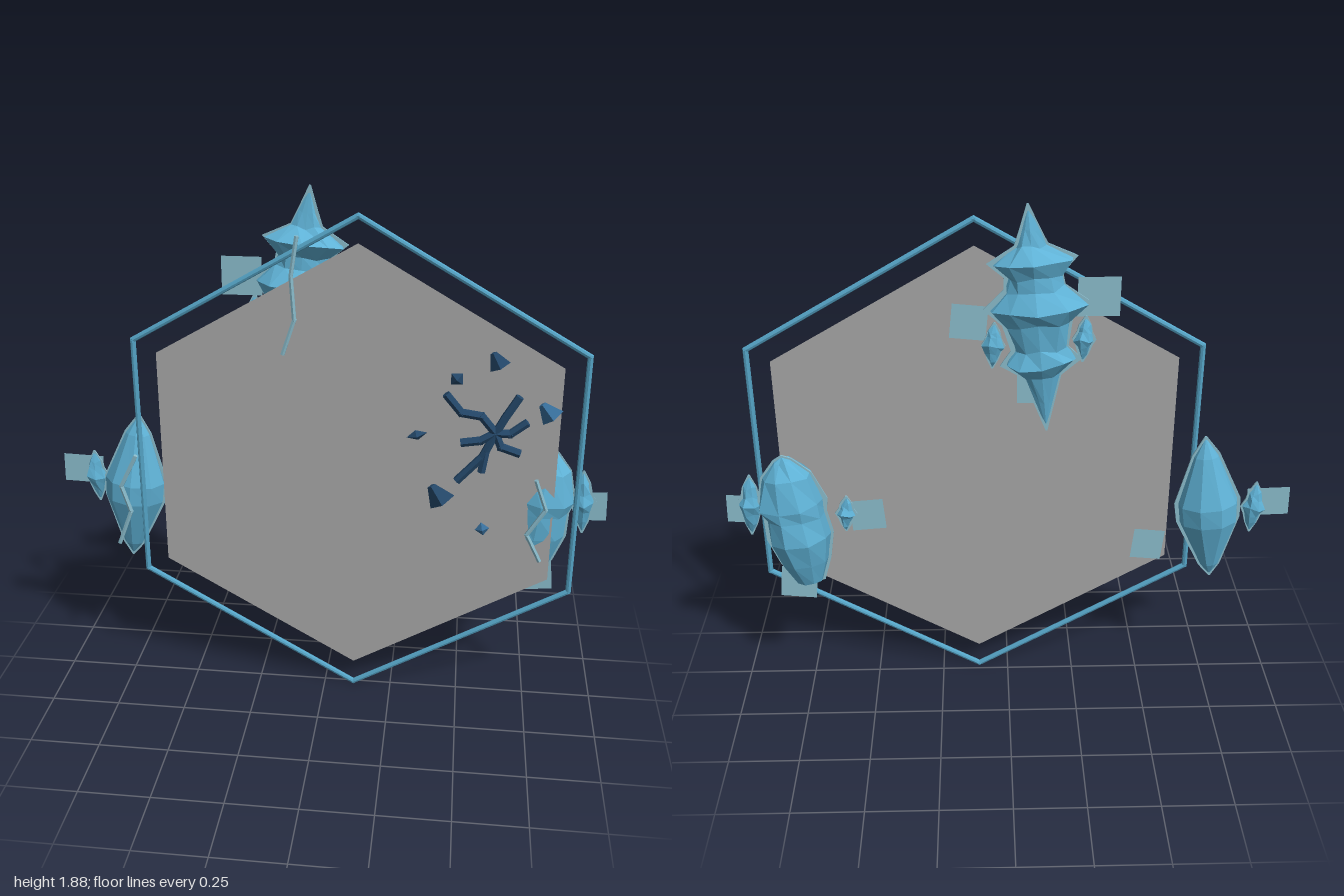
import * as THREE from 'three';

const mat = (name, color, side = THREE.FrontSide) => {
  const m = new THREE.MeshStandardMaterial({ color, side });
  m.name = name;
  return m;
};

// Repeatable 0..1 noise
const noise = (i, j, seed) => {
  const s = Math.sin(i * 127.1 + j * 311.7 + seed * 74.7) * 43758.5453;
  return s - Math.floor(s);
};

const faceted = (geometry) => {
  const g = geometry.index ? geometry.toNonIndexed() : geometry;
  g.computeVertexNormals();
  return g;
};

// Faceted crystal: profile of [radius, y] from bottom to top, flattened in z
function crystalGeometry(profile, sides, depth, jitter, seed) {
  const g = new THREE.LatheGeometry(profile.map(([r, y]) => new THREE.Vector2(r, y)), sides);
  const p = g.attributes.position;
  const n = profile.length;
  for (let k = 0; k < p.count; k++) {
    const i = Math.floor(k / n) % sides, j = k % n;
    const f = 1 + (noise(i, j, seed) - 0.6) * jitter;
    const lift = j > 0 && j < n - 1 ? (noise(j, i, seed + 3) - 0.5) * jitter * 0.08 : 0;
    p.setXYZ(k, p.getX(k) * f, p.getY(k) + lift, p.getZ(k) * f * depth);
  }
  return faceted(g);
}

// Thin silhouette blade through the middle of a crystal
function finGeometry(profile) {
  const right = profile.map(([r, y]) => new THREE.Vector2(r * 1.03 + 0.003, y * 1.02));
  const left = right.map((v) => new THREE.Vector2(-v.x, v.y)).reverse();
  const g = new THREE.ExtrudeGeometry(new THREE.Shape([...right, ...left]), { depth: 0.006, bevelEnabled: false });
  return g.translate(0, 0, -0.003);
}

// Straight rods joined along a path
function rodPath(name, points, radius, sides, material) {
  const group = new THREE.Group();
  group.name = name;
  for (let i = 0; i < points.length - 1; i++) {
    const a = new THREE.Vector3(...points[i]), b = new THREE.Vector3(...points[i + 1]);
    const d = b.clone().sub(a);
    const rod = new THREE.Mesh(faceted(new THREE.CylinderGeometry(radius, radius, d.length() + radius, sides)), material);
    rod.name = name + 'Segment';
    rod.position.copy(a).add(b).multiplyScalar(0.5);
    rod.quaternion.setFromUnitVectors(new THREE.Vector3(0, 1, 0), d.normalize());
    group.add(rod);
  }
  return group;
}

export function createModel() {
  const model = new THREE.Group();
  model.name = 'crackedHexagonPanel';
  const crystalBlue = mat('crystalBlue', 0x5fb2d6);
  const frameBlue = mat('frameBlue', 0x55a4c6);
  const paleBlue = mat('paleBlue', 0x8abccc, THREE.DoubleSide);
  const panelGrey = mat('panelGrey', 0xa6a6a6, THREE.DoubleSide);
  const crackNavy = mat('crackNavy', 0x24486a);
  const shardBlue = mat('shardBlue', 0x386f9c);

  const add = (name, geometry, material, x, y, z, tilt = 0) => {
    const m = new THREE.Mesh(geometry, material);
    m.name = name;
    m.position.set(x, y, z);
    m.rotation.z = tilt;
    model.add(m);
    return m;
  };

  // Hexagonal panel and the rod frame around it
  const cx = 0.11, cy = 0.905, cz = 0.02;
  const corner = (r, i) => [cx + r * Math.sin(i * Math.PI / 3), cy + r * Math.cos(i * Math.PI / 3), cz];
  const hex = new THREE.Shape([0, 1, 2, 3, 4, 5].map((i) => {
    const [x, y] = corner(0.805, i);
    return new THREE.Vector2(x, y);
  }));
  add('panel', new THREE.ShapeGeometry(hex), panelGrey, 0, 0, cz);
  model.add(rodPath('frame', [0, 1, 2, 3, 4, 5, 6].map((i) => corner(0.895, i)), 0.01, 8, frameBlue));

  // Three large crystals, each with a thin blade through it
  const large = [
    { name: 'spindleCrystal', at: [-0.715, 0.755, -0.06], tilt: -0.1, sides: 9, depth: 0.78, jitter: 0.04,
      profile: [[0, -0.285], [0.035, -0.235], [0.108, -0.045], [0.112, 0.03], [0.045, 0.215], [0, 0.285]] },
    { name: 'flaredCrystal', at: [-0.095, 1.48, -0.075], tilt: -0.09, sides: 10, depth: 0.55, jitter: 0.22,
      profile: [[0, -0.39], [0.03, -0.29], [0.06, -0.19], [0.13, -0.14], [0.09, -0.09], [0.11, 0], [0.165, 0.06],
        [0.095, 0.12], [0.09, 0.16], [0.14, 0.21], [0.05, 0.26], [0.03, 0.31], [0, 0.39]] },
    { name: 'barrelCrystal', at: [0.755, 0.72, -0.06], tilt: -0.12, sides: 9, depth: 0.82, jitter: 0.16,
      profile: [[0, -0.265], [0.05, -0.25], [0.088, -0.16], [0.115, -0.06], [0.108, 0.03], [0.12, 0.08],
        [0.085, 0.19], [0.03, 0.25], [0, 0.265]] },
  ];
  large.forEach((c, i) => {
    add(c.name, crystalGeometry(c.profile, c.sides, c.depth, c.jitter, i + 1), crystalBlue, ...c.at, c.tilt);
    add(c.name + 'Blade', finGeometry(c.profile), paleBlue, ...c.at, c.tilt);
  });

  // Small crystals beside them: x, y, z, half height, radius
  const bud = [[0, -1], [0.45, -0.6], [0.7, -0.25], [1, 0], [0.65, 0.3], [0.5, 0.6], [0, 1]];
  [
    [-0.87, 0.775, -0.09, 0.1, 0.042], [0.05, 1.4, -0.075, 0.08, 0.036], [-0.25, 1.42, -0.075, 0.08, 0.036],
    [0.915, 0.785, -0.05, 0.12, 0.045], [0.575, 0.76, -0.075, 0.07, 0.036],
  ].forEach(([x, y, z, h, r], i) => {
    const profile = bud.map(([a, b]) => [a * r, b * h]);
    add('smallCrystal', crystalGeometry(profile, 7, 0.85, 0.25, i + 11), crystalBlue, x, y, z, 0.05);
    add('smallCrystalBlade', finGeometry(profile), paleBlue, x, y, z, 0.05);
  });

  // Flat square panes: x, y, z, width, height, tilt
  [
    [-0.92, 0.8, -0.095, 0.15, 0.11, -0.03], [-0.5, 0.63, -0.1, 0.11, 0.12, 0.1],
    [-0.295, 1.565, -0.07, 0.14, 0.135, 0], [0.13, 1.48, -0.07, 0.12, 0.12, 0.1], [-0.08, 1.22, -0.03, 0.1, 0.11, 0],
    [0.95, 0.77, -0.05, 0.1, 0.11, 0.04], [0.5, 0.75, -0.07, 0.12, 0.12, -0.08], [0.765, 0.47, -0.075, 0.13, 0.13, 0.1],
  ].forEach(([x, y, z, w, h, tilt]) => add('pane', new THREE.PlaneGeometry(w, h), paleBlue, x, y, z, tilt));

  // Zigzag streaks across the front of the large crystals
  [
    [[-0.68, 0.92], [-0.74, 0.8], [-0.71, 0.7], [-0.76, 0.57]],
    [[-0.09, 1.73], [-0.11, 1.6], [-0.1, 1.45], [-0.14, 1.33]],
    [[0.74, 0.9], [0.78, 0.79], [0.72, 0.69], [0.77, 0.59]],
  ].forEach((path) => model.add(rodPath('streak', path.map(([x, y]) => [x, y, 0.042]), 0.008, 6, paleBlue)));

  // Dark branching crack on the panel
  [
    [[0.42, 1.2], [0.47, 1.14], [0.54, 1.13], [0.59, 1.07], [0.55, 0.98], [0.47, 0.89]],
    [[0.66, 1.2], [0.62, 1.13], [0.59, 1.07]],
    [[0.69, 1.11], [0.64, 1.07], [0.59, 1.07]],
    [[0.48, 1.03], [0.54, 1.04], [0.59, 1.07]],
    [[0.59, 1.07], [0.61, 1.02], [0.67, 1.0]],
    [[0.56, 1.0], [0.55, 0.93]],
  ].forEach((path) => model.add(rodPath('crack', path.map(([x, y]) => [x, y, 0.035]), 0.015, 6, crackNavy)));

  // Loose shards floating in front: x, y, size, height scale, tilt
  [
    [0.575, 1.37, 0.036, 1, 0.5], [0.45, 1.3, 0.027, 1, 0.8], [0.75, 1.2, 0.04, 1, 0.7],
    [0.325, 1.095, 0.036, 0.5, 0.3], [0.4, 0.88, 0.048, 1, 0.6], [0.56, 0.755, 0.025, 1, 0.2],
  ].forEach(([x, y, s, sy, tilt], i) => {
    const g = i % 2 ? new THREE.OctahedronGeometry(s) : new THREE.CylinderGeometry(s * 0.3, s, s * 1.5, 4);
    const m = add('shard', faceted(g), i % 3 === 2 ? shardBlue : crackNavy, x, y, 0.14, tilt);
    m.scale.set(1, sy, 0.65);
  });

  return model;
}
